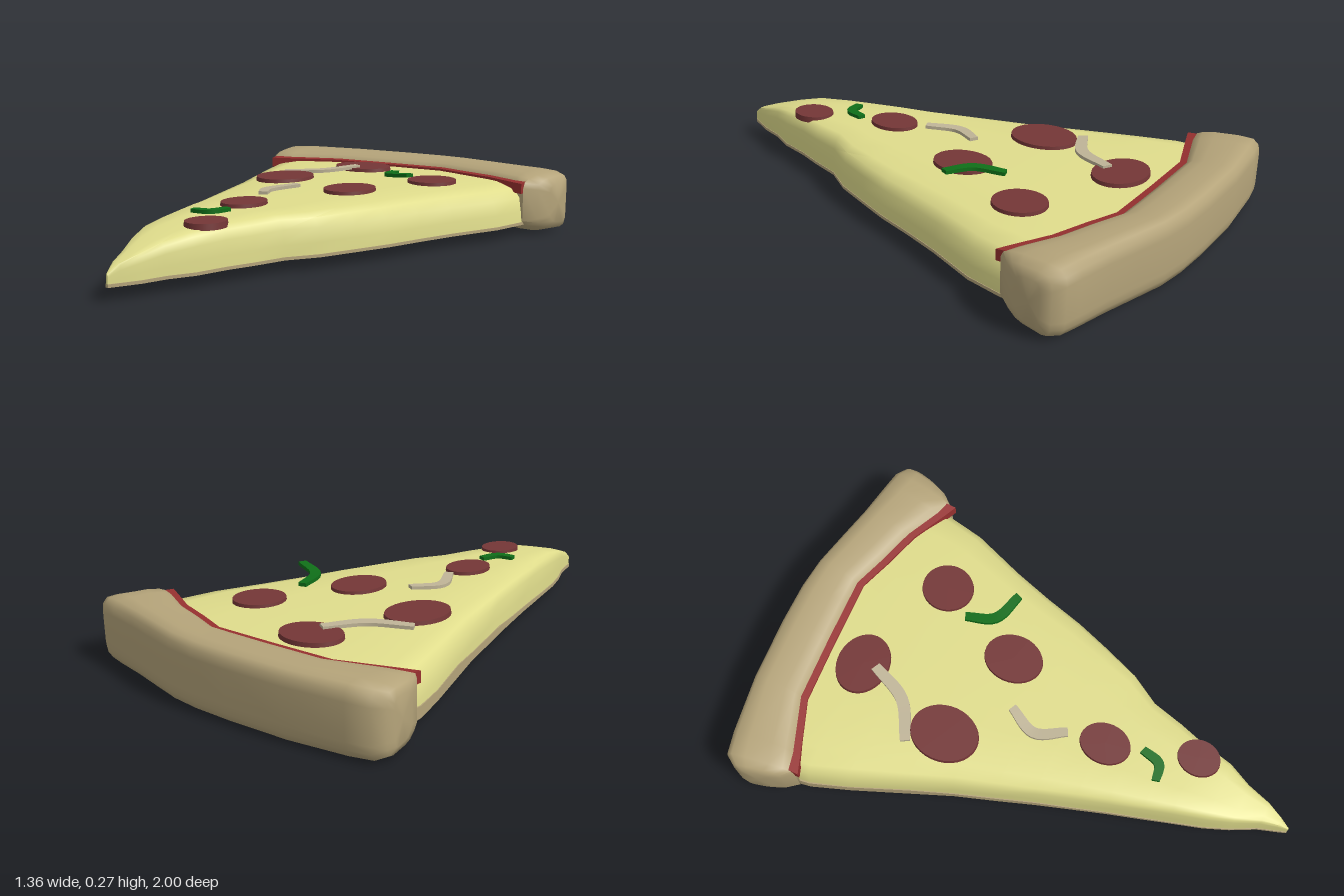
import * as THREE from 'three';
import { toCreasedNormals } from 'three/addons/utils/BufferGeometryUtils.js';

const material = (color) => new THREE.MeshStandardMaterial({ color });
const CRUST = material(0xb5a47a);
const CHEESE = material(0xe0dd8c);
const SAUCE = material(0x96302f);
const PEPPERONI = material(0x743636);
const PEPPER = material(0x0f6e18);
const ONION = material(0xbfb497);

// Closed solid through a row of equal-length rings, capped at both ends.
function loft(rings, crease = 0.9) {
  const n = rings[0].length;
  const points = rings.flat();
  const index = [];
  for (let i = 0; i < rings.length - 1; i++) {
    for (let j = 0; j < n; j++) {
      const a = i * n + j, b = i * n + (j + 1) % n;
      index.push(a, b, b + n, a, b + n, a + n);
    }
  }
  const cap = (ring, start, flip) => {
    const centre = ring.reduce((s, p) => s.add(p), new THREE.Vector3()).divideScalar(n);
    const c = points.push(centre) - 1;
    for (let j = 0; j < n; j++) {
      const a = start + j, b = start + (j + 1) % n;
      index.push(c, flip ? b : a, flip ? a : b);
    }
  };
  const last = (rings.length - 1) * n;
  cap(rings[0], 0, true);
  cap(rings[rings.length - 1], last, false);
  // Turn the faces outward if the enclosed volume is negative.
  let volume = 0;
  const cross = new THREE.Vector3();
  for (let i = 0; i < index.length; i += 3) {
    volume += points[index[i]].dot(cross.crossVectors(points[index[i + 1]], points[index[i + 2]]));
  }
  if (volume < 0) index.reverse();
  const geometry = new THREE.BufferGeometry().setFromPoints(points);
  geometry.setIndex(index);
  return toCreasedNormals(geometry, crease);
}

function addPart(group, name, geometry, mat) {
  const mesh = new THREE.Mesh(geometry, mat);
  mesh.name = name;
  group.add(mesh);
  return mesh;
}

// Slice outline: z, left edge x, right edge x, top height
const SLICE = [
  [-0.84, -0.58, 0.58, 0.2], [-0.7, -0.6, 0.592, 0.202], [-0.64, -0.59, 0.588, 0.203],
  [-0.5, -0.54, 0.56, 0.204], [-0.3, -0.46, 0.48, 0.204], [-0.15, -0.4, 0.43, 0.203],
  [0, -0.35, 0.385, 0.202], [0.13, -0.305, 0.335, 0.201], [0.27, -0.26, 0.28, 0.2],
  [0.38, -0.225, 0.21, 0.2], [0.5, -0.19, 0.175, 0.197], [0.6, -0.16, 0.14, 0.194],
  [0.72, -0.125, 0.11, 0.186], [0.81, -0.09, 0.066, 0.166], [0.9, -0.045, 0.04, 0.142],
  [0.96, -0.026, 0.012, 0.12], [1, -0.013, -0.007, 0.09],
];

// Across the cheese: position from left (-1) to right (1), fraction of the height
const CHEESE_SECTION = [
  [-1, 0], [-1, 0.35], [-0.985, 0.7], [-0.94, 0.9], [-0.82, 0.98], [-0.4, 1],
  [0.4, 1], [0.78, 0.98], [0.92, 0.88], [0.98, 0.65], [1, 0.3], [1, 0],
];

function cheeseGeometry() {
  const floor = 0.055;
  return loft(SLICE.map(([z, l, r, top]) => CHEESE_SECTION.map(([u, v]) => {
    const ripple = v > 0 && v < 0.95 ? 0.005 * Math.sin(z * 17 + u * 2 + v * 3) * (r - l) : 0;
    const x = (l + r) / 2 + u * (r - l) / 2 - Math.sign(u) * Math.abs(ripple);
    return new THREE.Vector3(x, floor + v * (top - floor), z);
  })));
}

// Baked dough under the cheese, thicker along one side
function baseGeometry() {
  return loft(SLICE.map(([z, l, r]) => {
    const rise = 0.03 * THREE.MathUtils.clamp((0.6 - z) / 1.2, 0, 1) * (1 + 0.25 * Math.sin(z * 14));
    return [[l - 0.003, 0.047], [r + 0.002, 0.047], [r + 0.002, 0.058], [l - 0.003, 0.06 + rise]]
      .map(([x, y]) => new THREE.Vector3(x, y, z));
  }));
}

// Rim stations: front x, front z, back x, back z, height scale
const RIM = [
  [-0.655, -0.755, -0.677, -0.855, 0.66], [-0.635, -0.71, -0.672, -0.885, 0.87],
  [-0.605, -0.675, -0.645, -0.925, 0.97], [-0.54, -0.7, -0.56, -0.945, 1],
  [-0.34, -0.78, -0.34, -0.98, 1], [-0.1, -0.797, -0.1, -0.997, 1],
  [0.05, -0.805, 0.05, -1, 1], [0.15, -0.81, 0.17, -0.99, 1],
  [0.27, -0.77, 0.3, -0.963, 1], [0.41, -0.73, 0.43, -0.935, 1],
  [0.54, -0.668, 0.56, -0.915, 1], [0.592, -0.645, 0.625, -0.905, 0.97],
  [0.632, -0.69, 0.667, -0.88, 0.87], [0.66, -0.745, 0.68, -0.845, 0.66],
];

// Rim cross-section: fraction from front to back, height
const RIM_SECTION = [
  [0, 0.06], [0.08, 0.04], [0.24, 0.016], [0.4, 0.008], [0.8, 0.003], [0.92, 0.01],
  [0.98, 0.035], [0.99, 0.06], [1, 0.185], [0.98, 0.215], [0.9, 0.235], [0.7, 0.238],
  [0.35, 0.234], [0.15, 0.225], [0.04, 0.212], [0, 0.19],
];

function rimGeometry() {
  return loft(RIM.map(([fx, fz, bx, bz, k]) => RIM_SECTION.map(([s, y]) => new THREE.Vector3(
    THREE.MathUtils.lerp(fx, bx, s), 0.12 + (y - 0.12) * k, THREE.MathUtils.lerp(fz, bz, s)))), 1.0);
}

// Sauce line following the front edge of the rim
function sauceGeometry() {
  return loft(RIM.slice(2, 12).map(([x, z]) =>
    [[-0.03, 0.17], [0.018, 0.17], [0.018, 0.209], [-0.03, 0.214]]
      .map(([dz, y]) => new THREE.Vector3(x, y, z + dz))));
}

// Curved flat strip through three points, slightly narrower at its ends
function stripGeometry(points, width, thickness) {
  const [a, m, b] = points.map((p) => new THREE.Vector3(...p));
  const curve = new THREE.CatmullRomCurve3([a, m, b]);
  const up = new THREE.Vector3(0, 1, 0);
  const rings = [];
  for (let i = 0; i <= 14; i++) {
    const t = i / 14;
    const side = curve.getTangent(t).cross(up).normalize();
    const w = width * (0.8 + 0.2 * Math.sin(Math.PI * t)) / 2;
    rings.push([[-w, 0], [w, 0], [w, thickness], [-w, thickness]]
      .map(([s, y]) => curve.getPoint(t).addScaledVector(side, s).addScaledVector(up, y)));
  }
  return loft(rings);
}

export function createModel() {
  const group = new THREE.Group();
  group.name = 'pizzaSlice';
  addPart(group, 'crustRim', rimGeometry(), CRUST);
  addPart(group, 'crustBase', baseGeometry(), CRUST);
  addPart(group, 'cheese', cheeseGeometry(), CHEESE);
  addPart(group, 'sauce', sauceGeometry(), SAUCE);

  // Pepperoni: x, z, radius x, radius z, middle height
  const disc = new THREE.CylinderGeometry(0.97, 1, 0.022, 32);
  [
    [-0.13, -0.645, 0.12, 0.098, 0.206], [0.275, -0.5, 0.094, 0.099, 0.204],
    [-0.245, -0.255, 0.106, 0.13, 0.205], [0.122, -0.155, 0.093, 0.113, 0.204],
    [-0.034, 0.283, 0.077, 0.096, 0.202], [0.061, 0.608, 0.069, 0.08, 0.194],
  ].forEach(([x, z, rx, rz, y], i) => {
    const slice = addPart(group, `pepperoni${i + 1}`, disc, PEPPERONI);
    slice.position.set(x, y, z);
    slice.scale.set(rx, 1, rz);
  });

  // Onion and green pepper strips
  addPart(group, 'onionLong',
    stripGeometry([[-0.33, 0.203, -0.37], [-0.195, 0.208, -0.452], [-0.125, 0.214, -0.595]], 0.045, 0.012), ONION);
  addPart(group, 'onionShort',
    stripGeometry([[-0.055, 0.212, -0.075], [-0.108, 0.206, 0.035], [-0.055, 0.212, 0.145]], 0.04, 0.012), ONION);
  addPart(group, 'pepperRaised',
    stripGeometry([[0.183, 0.243, -0.38], [0.222, 0.25, -0.275], [0.333, 0.262, -0.232]], 0.038, 0.013), PEPPER);
  addPart(group, 'pepperFlat',
    stripGeometry([[0.002, 0.2, 0.415], [-0.022, 0.2, 0.487], [-0.085, 0.2, 0.502]], 0.036, 0.013), PEPPER);
  return group;
}
